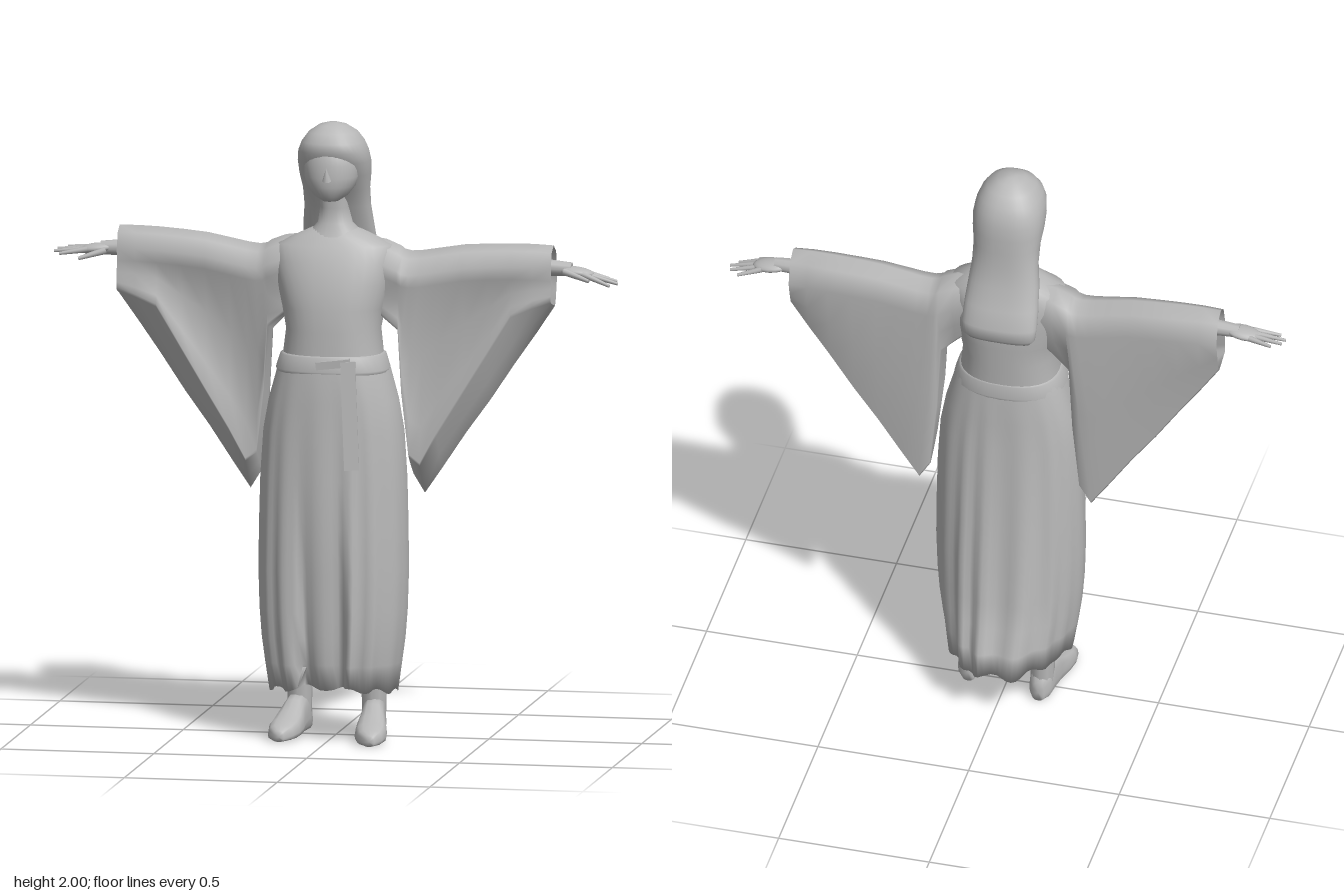
import * as THREE from 'three';

const cloth = new THREE.MeshStandardMaterial({ color: 0xb8b8b8, side: THREE.DoubleSide });
cloth.name = 'plain grey';

const V = (x, y, z) => new THREE.Vector3(x, y, z);
const lerp = THREE.MathUtils.lerp;
const pow = (v, e) => Math.sign(v) * Math.abs(v) ** e;

function add(parent, name, geometry) {
  const mesh = new THREE.Mesh(geometry, cloth);
  mesh.name = name;
  parent.add(mesh);
  return mesh;
}

// Skins a list of equal-sized closed rings; optional fans close the ends
function loft(rings, { flip = false, start = false, end = false } = {}) {
  const n = rings[0].length, pos = [], idx = [];
  rings.forEach(r => r.forEach(p => pos.push(p.x, p.y, p.z)));
  const tri = (a, b, c) => (flip ? idx.push(a, c, b) : idx.push(a, b, c));
  for (let i = 0; i < rings.length - 1; i++) {
    for (let j = 0; j < n; j++) {
      const a = i * n + j, b = i * n + (j + 1) % n;
      tri(a, b, a + n);
      tri(b, b + n, a + n);
    }
  }
  const cap = (i, first) => {
    const c = rings[i].reduce((s, p) => s.add(p), V(0, 0, 0)).divideScalar(n);
    const k = pos.length / 3;
    pos.push(c.x, c.y, c.z);
    for (let j = 0; j < n; j++) {
      const a = i * n + j, b = i * n + (j + 1) % n;
      first ? tri(k, b, a) : tri(k, a, b);
    }
  };
  if (start) cap(0, true);
  if (end) cap(rings.length - 1, false);
  const g = new THREE.BufferGeometry();
  g.setAttribute('position', new THREE.Float32BufferAttribute(pos, 3));
  g.setIndex(idx);
  g.computeVertexNormals();
  return g;
}

// Horizontal ring from [y, half width, front z, back z, middle z]
function ring([y, w, zf, zb, zm = (zf + zb) / 2], n = 32, e = 0.85) {
  return Array.from({ length: n }, (_, j) => {
    const a = j / n * Math.PI * 2, s = pow(Math.sin(a), e);
    return V(w * pow(Math.cos(a), e), y, zm + (s > 0 ? zf - zm : zm - zb) * s);
  });
}

// Tapered round limb between two points
function limb(parent, name, a, b, r1, r2) {
  const m = add(parent, name, new THREE.CylinderGeometry(r2, r1, a.distanceTo(b), 10));
  m.position.copy(a).add(b).multiplyScalar(0.5);
  m.quaternion.setFromUnitVectors(V(0, 1, 0), b.clone().sub(a).normalize());
}

// Skirt with pleats, a front slit and a short train
function skirtGeometry() {
  const rows = [
    [1.24, 0.168, 0.178, -0.085], [1.2, 0.182, 0.188, -0.09], [1.1, 0.21, 0.192, -0.095],
    [1.0, 0.228, 0.196, -0.1], [0.85, 0.238, 0.2, -0.115], [0.7, 0.242, 0.207, -0.13],
    [0.55, 0.244, 0.212, -0.15], [0.42, 0.24, 0.214, -0.167], [0.33, 0.233, 0.214, -0.185],
    [0.25, 0.222, 0.21, -0.215], [0.17, 0.208, 0.2, -0.23], [0.25, 0.17, 0.15, -0.16],
  ];
  const n = 96;
  const rings = rows.map(([y, w, zf, zb], i) => {
    const t = Math.min(1, Math.max(0, (1.2 - y) / 1.0)), inner = i === rows.length - 1;
    return Array.from({ length: n }, (_, j) => {
      const a = j / n * Math.PI * 2, c = Math.cos(a), s = Math.sin(a);
      let x = w * pow(c, 0.85);
      let z = 0.03 + (s > 0 ? (zf - 0.03) * pow(s, 0.85)
        : (zb - 0.03) * Math.abs(s) ** lerp(0.85, 1.6, t));
      const pleat = inner ? 0 : t * 0.013 * s * s * Math.sin(a * 16 + Math.sin(a * 5));
      x += pleat * c;
      z += pleat * s;
      if (s > 0 && x > -0.085 && x < 0.06 && !inner) z -= 0.05 * Math.max(0, (0.75 - y) / 0.6);
      const hem = y < 0.2 ? 0.02 * (Math.abs(s) - 0.8) + 0.008 * Math.sin(a * 11) : 0;
      return V(x, y + hem, z);
    });
  });
  return loft(rings, { end: true });
}

// Wide hanging sleeve: [x, top, front lower edge, back lower edge, front z, back z, fold z]
function sleeveGeometry(side, lift) {
  const rows = [
    [0.1, 1.625, 1.44, 1.42, 0.08, -0.07, 0.07],
    [0.165, 1.615, 1.38, 1.36, 0.085, -0.08, 0.07],
    [0.213, 1.595, 1.34, 1.31, 0.085, -0.085, 0.06],
    [0.225, 1.585, 1.13, 1.08, 0.08, -0.085, 0.05],
    [0.248, 1.58, 0.93, 0.85, 0.075, -0.08, 0.04],
    [0.285, 1.583, 0.9, 0.79, 0.07, -0.08, 0.025],
    [0.34, 1.592, 1.0, 0.87, 0.065, -0.078, 0.015],
    [0.42, 1.605, 1.13, 0.99, 0.058, -0.078, 0.01],
    [0.5, 1.61, 1.26, 1.1, 0.052, -0.08, 0.015],
    [0.58, 1.613, 1.39, 1.22, 0.048, -0.08, 0.03],
    [0.65, 1.613, 1.42, 1.32, 0.045, -0.075, 0.04],
    [0.71, 1.61, 1.44, 1.41, 0.04, -0.068, 0.04],
  ];
  const rings = rows.map(([x, t, f, b, zf, zb, fold]) => {
    const y = t + lift * x, zl = Math.min(0.065, zf + 0.005);
    return [
      [y, -0.01], [y - 0.02, zf * 0.6], [y - 0.07, zf], [y - 0.11, zf * 0.95],
      [lerp(y - 0.11, f, 0.4), fold], [lerp(y - 0.11, f, 0.8), lerp(fold, zl, 0.7)],
      [f, zl], [f - 0.01, zl - 0.006], [lerp(f, b, 0.6), 0.015], [b, -0.03],
      [b + 0.012, -0.042], [lerp(b, y - 0.1, 0.5), -0.055], [y - 0.1, zb], [y - 0.025, zb * 0.75],
    ].map(([py, pz]) => V(side * x, py, pz));
  });
  return loft(rings, { flip: side < 0 });
}

function hand(side, lift) {
  const g = new THREE.Group();
  g.name = side > 0 ? 'leftHand' : 'rightHand';
  const y = 1.535 + lift * 0.7, drop = side > 0 ? 0.04 : 0.012;
  limb(g, 'wrist', V(side * 0.5, y + 0.01, -0.01), V(side * 0.77, y, -0.005), 0.04, 0.022);
  const palm = add(g, 'palm', new THREE.SphereGeometry(1, 16, 10));
  palm.scale.set(0.06, 0.017, 0.036);
  palm.position.set(side * 0.785, y - drop * 0.2, -0.005);
  palm.rotation.z = -side * 0.12;
  for (let i = 0; i < 4; i++) {
    const z = 0.018 - i * 0.016, reach = [0.9, 0.922, 0.915, 0.885][i];
    limb(g, 'finger', V(side * 0.81, y - drop * 0.3, z), V(side * reach, y - drop + i * 0.004 - 0.006, z * 1.7), 0.01, 0.005);
  }
  limb(g, 'thumb', V(side * 0.75, y - 0.005, 0.02), V(side * 0.835, y - 0.03, 0.045), 0.012, 0.006);
  return g;
}

function foot(side, heel) {
  const g = new THREE.Group();
  g.name = side > 0 ? 'leftFoot' : 'rightFoot';
  const rows = [
    [0, 0.02, 0.07], [0.02, 0.036, 0.1], [0.06, 0.04, 0.135], [0.11, 0.042, 0.115],
    [0.16, 0.05, 0.085], [0.21, 0.052, 0.066], [0.25, 0.042, 0.052], [0.275, 0.018, 0.036],
  ];
  const rings = rows.map(([z, w, h]) => Array.from({ length: 16 }, (_, j) => {
    const a = j / 16 * Math.PI * 2, s = Math.sin(a);
    return V(side * (0.122 + z * 0.11) + w * pow(Math.cos(a), 0.8), 0.35 * h + (s > 0 ? 0.65 : 0.35) * h * pow(s, 0.7), z + heel);
  }));
  add(g, 'shoe', loft(rings, { start: true, end: true }));
  limb(g, 'ankle', V(side * 0.126, 0.06, heel + 0.045), V(side * 0.125, 0.4, heel + 0.05), 0.038, 0.05);
  return g;
}

export function createModel() {
  const model = new THREE.Group();
  model.name = 'robedFigure';

  // Robe
  add(model, 'bodice', loft([
    [1.66, 0.055, 0.065, -0.05], [1.63, 0.12, 0.085, -0.07], [1.6, 0.185, 0.105, -0.085],
    [1.55, 0.195, 0.13, -0.095], [1.48, 0.185, 0.153, -0.1], [1.4, 0.165, 0.168, -0.097],
    [1.33, 0.152, 0.17, -0.09], [1.22, 0.165, 0.175, -0.085],
  ].map(r => ring(r)), { start: true }));
  add(model, 'skirt', skirtGeometry());
  add(model, 'waistBand', loft([
    [1.255, 0.16, 0.172, -0.085], [1.25, 0.17, 0.182, -0.09],
    [1.205, 0.184, 0.191, -0.094], [1.195, 0.18, 0.186, -0.09],
  ].map(r => ring(r))));

  // Sash knot and hanging tail
  const knot = add(model, 'sashKnot', new THREE.BoxGeometry(0.11, 0.025, 0.025));
  knot.position.set(0.025, 1.232, 0.182);
  knot.rotation.z = 0.12;
  const tail = add(model, 'sashTail', new THREE.BoxGeometry(0.048, 0.35, 0.016));
  tail.position.set(0.083, 1.068, 0.2);
  tail.rotation.set(-0.07, 0.15, 0.05);

  // Neck and face
  add(model, 'neck', loft([
    [1.8, 0.05, 0.07, -0.03], [1.72, 0.048, 0.062, -0.04],
    [1.67, 0.056, 0.066, -0.05], [1.62, 0.1, 0.09, -0.06],
  ].map(r => ring(r))));
  add(model, 'face', loft([
    [1.95, 0.06, 0.118, 0], [1.91, 0.08, 0.148, 0], [1.87, 0.088, 0.156, 0],
    [1.83, 0.087, 0.16, 0], [1.8, 0.078, 0.157, 0], [1.77, 0.055, 0.15, 0.02],
    [1.752, 0.028, 0.128, 0.04],
  ].map(r => ring(r, 32, 1)), { start: true, end: true }));
  const nose = add(model, 'nose', new THREE.ConeGeometry(0.015, 0.045, 8));
  nose.position.set(0, 1.845, 0.163);
  nose.rotation.x = 0.25;

  // Long hair falling behind the shoulders
  add(model, 'hair', loft([
    [2.0, 0.015, 0.065, 0.035], [1.992, 0.045, 0.098, 0.005], [1.97, 0.078, 0.13, -0.03],
    [1.94, 0.1, 0.15, -0.055], [1.91, 0.112, 0.154, -0.07], [1.875, 0.117, 0.135, -0.08],
    [1.83, 0.115, 0.105, -0.084], [1.78, 0.108, 0.07, -0.086], [1.72, 0.108, 0.03, -0.09],
    [1.65, 0.116, 0.005, -0.102], [1.58, 0.122, -0.03, -0.128], [1.52, 0.124, -0.06, -0.152],
    [1.48, 0.12, -0.08, -0.152], [1.452, 0.1, -0.09, -0.125],
  ].map(r => ring(r)), { start: true, end: true }));

  // Sleeves, hands and feet
  for (const side of [1, -1]) {
    const lift = side > 0 ? 0 : 0.035;
    add(model, side > 0 ? 'leftSleeve' : 'rightSleeve', sleeveGeometry(side, lift));
    model.add(hand(side, lift), foot(side, side > 0 ? -0.04 : -0.085));
  }
  return model;
}
